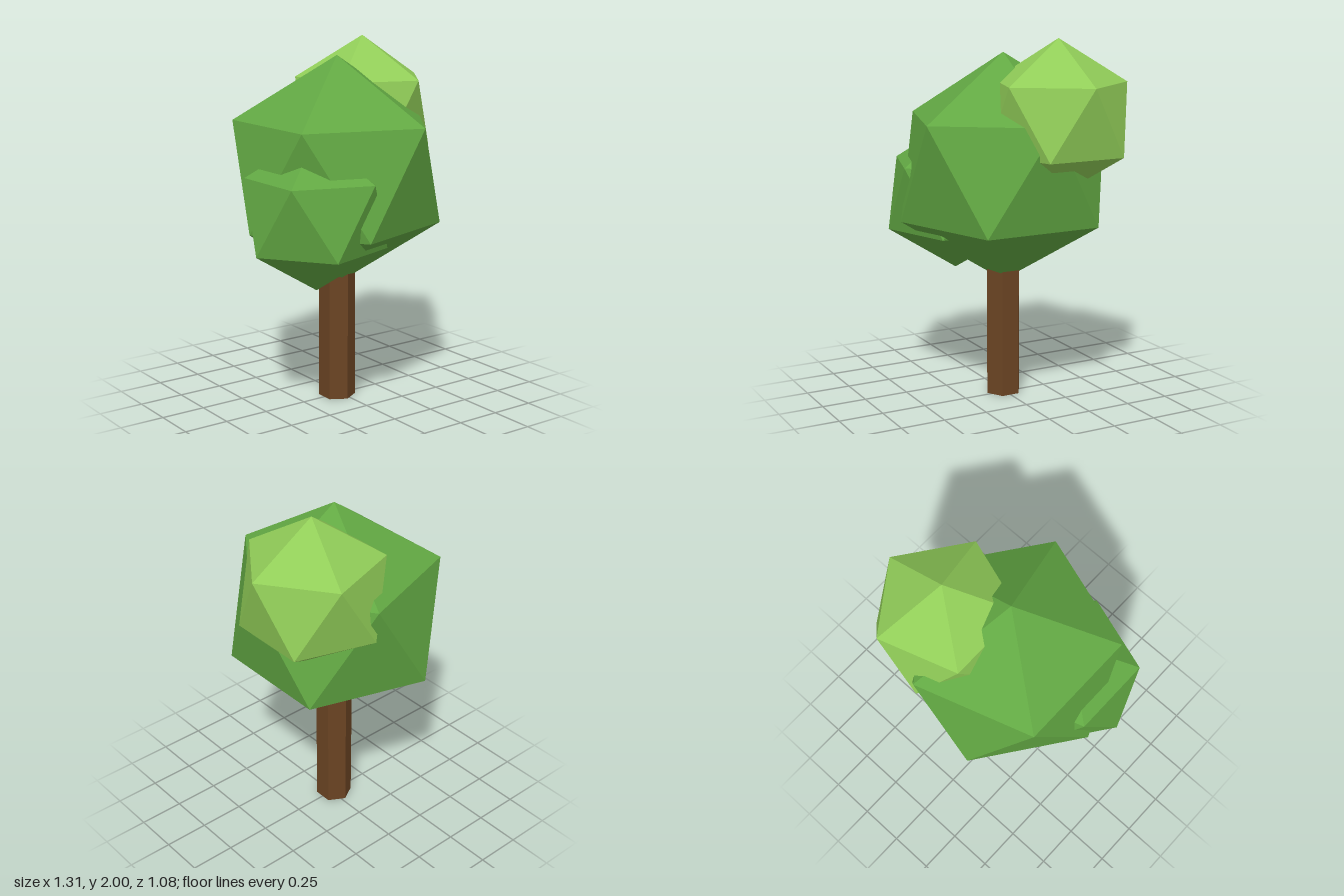
import * as THREE from 'three';

export function createModel() {
  const group = new THREE.Group();
  group.name = 'tree';

  const bark = new THREE.MeshStandardMaterial({ color: 0x6b4423 });
  bark.name = 'bark brown';
  const leafGreen = new THREE.MeshStandardMaterial({ color: 0x62a843 });
  leafGreen.name = 'leaf green';
  const lightGreen = new THREE.MeshStandardMaterial({ color: 0x91cd58 });
  lightGreen.name = 'light leaf green';
  for (const m of [bark, leafGreen, lightGreen]) m.flatShading = true;

  // Hexagonal trunk, its top hidden inside the crown
  const trunk = new THREE.Mesh(new THREE.CylinderGeometry(0.102, 0.102, 0.9, 6), bark);
  trunk.name = 'trunk';
  trunk.position.set(-0.022, 0.45, 0);
  group.add(trunk);

  // Leaf clumps: icosahedra turned to stand on one corner
  const tilt = -Math.atan(2 / (1 + Math.sqrt(5)));
  function addClump(name, radius, x, y, z, material) {
    const geometry = new THREE.IcosahedronGeometry(radius, 0).rotateZ(tilt);
    const clump = new THREE.Mesh(geometry, material);
    clump.name = name;
    clump.position.set(x, y, z);
    group.add(clump);
  }
  addClump('mainCrown', 0.633, -0.022, 1.282, 0, leafGreen);
  addClump('lowerClump', 0.421, -0.279, 1.11, 0.17, leafGreen);
  addClump('upperClump', 0.421, 0.275, 1.579, -0.17, lightGreen);

  return group;
}
